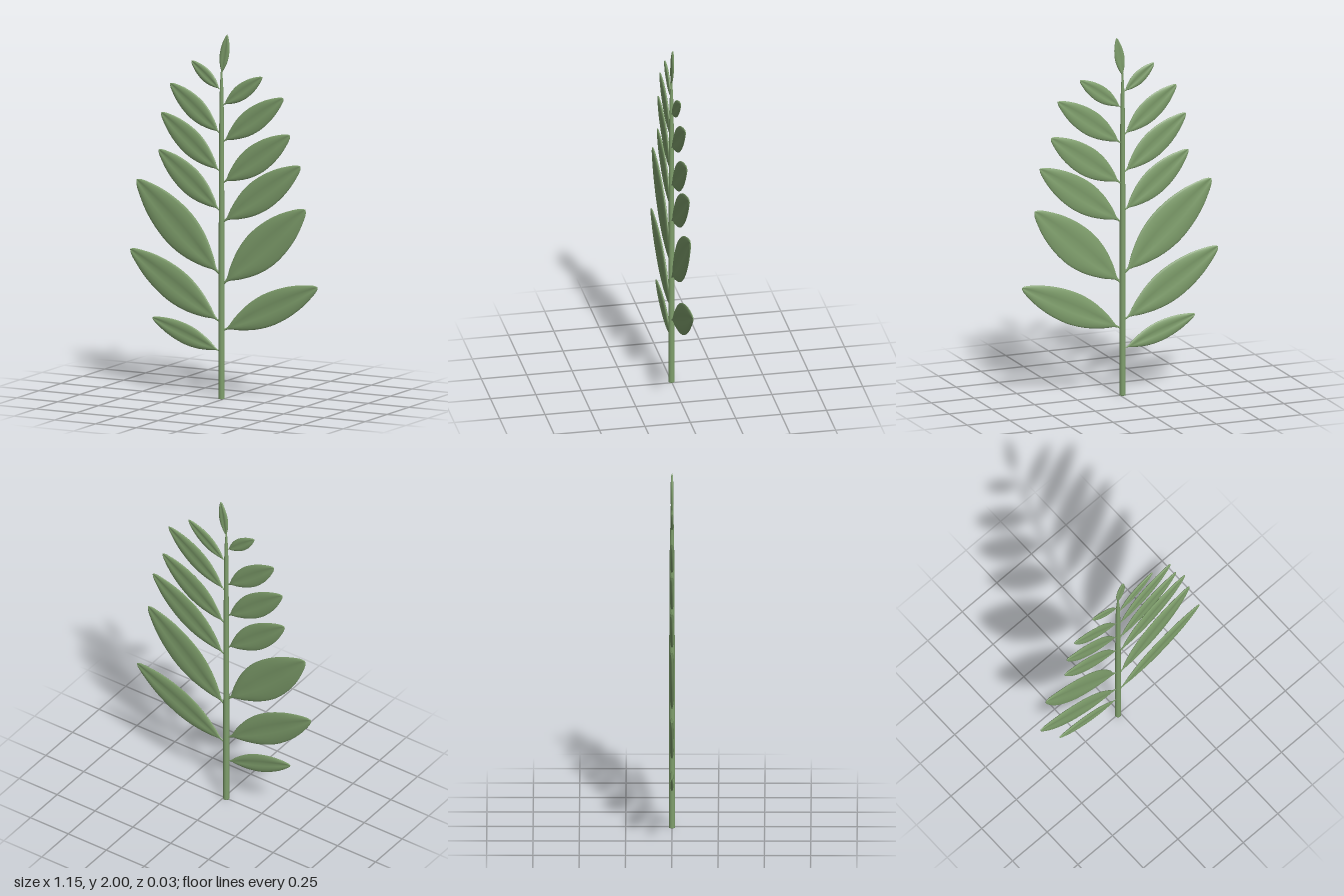
import * as THREE from 'three';

// Half-width of a leaf along its length: thin stalk, broad middle, blunt tip
const OUTLINE = new THREE.SplineCurve([
  [0, 0.06], [0.06, 0.09], [0.15, 0.42], [0.3, 0.81], [0.46, 1], [0.62, 0.96],
  [0.77, 0.76], [0.89, 0.47], [0.97, 0.21], [1, 0],
].map(([u, w]) => new THREE.Vector2(u, w)));

const ROWS = 28, SIDES = 24;

// Closed leaf blade lofted from base to tip, grooved along the midrib on both faces
function leafGeometry(bx, by, tx, ty, halfWidth) {
  const axis = new THREE.Vector2(tx - bx, ty - by);
  const across = new THREE.Vector2(-axis.y, axis.x).normalize();
  const thickness = 0.007 + 0.05 * halfWidth;
  const positions = [], index = [];
  for (let i = 0; i <= ROWS; i++) {
    const { x: u, y } = OUTLINE.getPoint(i / ROWS);
    const w = Math.max(y, 0);
    const blade = THREE.MathUtils.smoothstep(u, 0.04, 0.25);
    const t = thickness * Math.min(1, Math.sqrt(w) * 1.1);
    for (let j = 0; j < SIDES; j++) {
      const a = (j / SIDES) * Math.PI * 2;
      const s = Math.cos(a);
      const groove = 1 - 0.6 * blade * (1 - THREE.MathUtils.smoothstep(Math.abs(s), 0, 0.5));
      positions.push(
        bx + axis.x * u + across.x * s * w * halfWidth,
        by + axis.y * u + across.y * s * w * halfWidth,
        Math.sin(a) * t * groove,
      );
      if (i < ROWS) {
        const p = i * SIDES + j, q = i * SIDES + (j + 1) % SIDES;
        index.push(p, q, p + SIDES, q, q + SIDES, p + SIDES);
      }
    }
  }
  const geometry = new THREE.BufferGeometry();
  geometry.setAttribute('position', new THREE.Float32BufferAttribute(positions, 3));
  geometry.setIndex(index);
  geometry.computeVertexNormals();
  return geometry;
}

export function createModel() {
  const group = new THREE.Group();
  group.name = 'leafySprig';
  const green = new THREE.MeshStandardMaterial({ color: 0x7f9f6c });
  green.name = 'leafGreen';

  const add = (name, geometry) => {
    const mesh = new THREE.Mesh(geometry, green);
    mesh.name = name;
    group.add(mesh);
    return mesh;
  };

  // Upright stem, tapering to the top leaf
  const stem = [[0, 0], [0.017, 0], [0.017, 0.002], [0.0165, 0.6], [0.0145, 1.2],
    [0.012, 1.6], [0.009, 1.72], [0.004, 1.8], [0, 1.82]];
  add('stem', new THREE.LatheGeometry(stem.map(([r, y]) => new THREE.Vector2(r, y)), 20))
    .position.x = -0.015;

  // Side leaves from bottom to top: base height, tip x, tip y, half-width
  const sides = {
    leftLeaf: [
      [0.375, 0.575, 0.66, 0.087], [0.63, 0.5, 1.08, 0.108], [0.97, 0.47, 1.315, 0.086],
      [1.185, 0.405, 1.48, 0.077], [1.41, 0.365, 1.68, 0.066], [1.61, 0.235, 1.785, 0.043],
    ],
    rightLeaf: [
      [0.26, -0.44, 0.41, 0.055], [0.42, -0.575, 0.775, 0.095], [0.68, -0.535, 1.16, 0.113],
      [1.03, -0.4, 1.335, 0.075], [1.245, -0.385, 1.54, 0.072], [1.455, -0.33, 1.705, 0.062],
      [1.695, -0.2, 1.84, 0.036],
    ],
  };
  for (const [name, leaves] of Object.entries(sides)) {
    leaves.forEach(([baseY, tipX, tipY, halfWidth], i) => {
      const baseX = -0.015 + 0.008 * Math.sign(tipX);
      add(name + (i + 1), leafGeometry(baseX, baseY, tipX, tipY, halfWidth));
    });
  }

  // Single leaf at the top
  add('topLeaf', leafGeometry(-0.015, 1.78, 0.02, 2, 0.028));
  return group;
}
